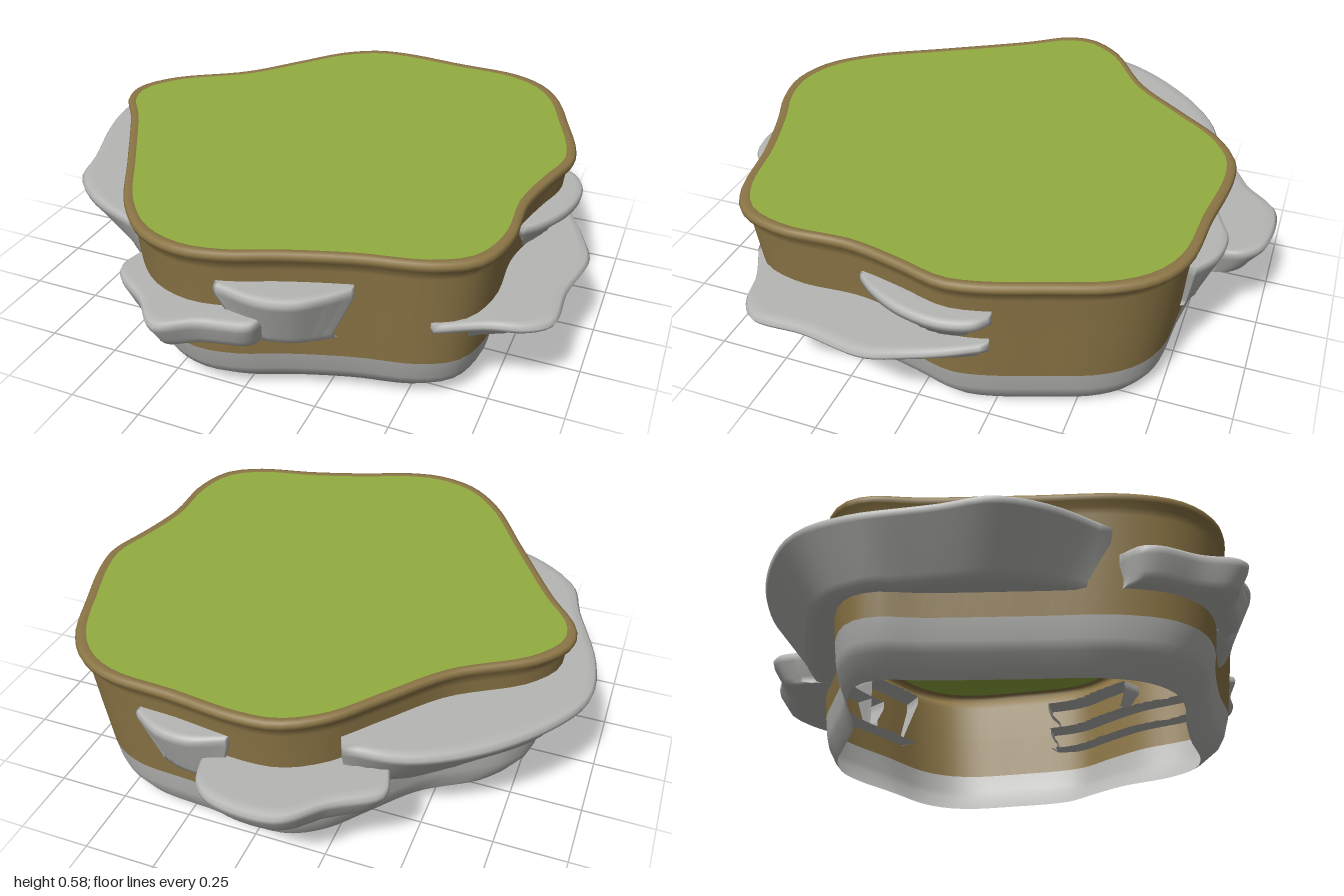
import * as THREE from 'three';

const COLUMNS = 112;

// Plan of the island rim as x, z pairs
const RIM = [
  0, -0.845, 0.24, -0.82, 0.47, -0.8, 0.59, -0.74, 0.68, -0.63, 0.76, -0.43, 0.825, -0.24,
  0.84, -0.13, 0.8, 0.03, 0.765, 0.21, 0.77, 0.45, 0.72, 0.6, 0.61, 0.675, 0.375, 0.73,
  0.16, 0.8, 0, 0.865, -0.14, 0.885, -0.285, 0.84, -0.42, 0.71, -0.58, 0.44, -0.76, 0.135,
  -0.86, -0.01, -0.87, -0.11, -0.79, -0.235, -0.55, -0.405, -0.39, -0.595, -0.26, -0.75, -0.13, -0.83,
];

// Ledges: plan path, bottom and top height, how far the underside tapers in and shrinks sideways
const LEDGES = [
  { name: 'leftLedge', y0: 0.255, y1: 0.47, taper: 0.4, shrink: 0.96,
    path: [-0.43, 0.65, -0.66, 0.55, -0.79, 0.43, -0.84, 0.27, -0.945, -0.02, -0.96, -0.21,
      -0.89, -0.37, -0.71, -0.58, -0.5, -0.71, -0.3, -0.735] },
  { name: 'backLedge', y0: 0.255, y1: 0.375, taper: 0.12, shrink: 0.92,
    path: [-0.44, -0.68, -0.455, -0.775, -0.31, -0.88, -0.19, -0.99, 0.03, -0.985, 0.1, -0.93, 0.13, -0.84] },
  { name: 'backSmallLedge', y0: 0.255, y1: 0.47, taper: 0.3, shrink: 0.6,
    path: [0.04, -0.82, 0.16, -0.87, 0.27, -0.86, 0.37, -0.8] },
  { name: 'frontSmallLedge', y0: 0.255, y1: 0.47, taper: 0.3, shrink: 0.6,
    path: [0.37, 0.72, 0.31, 0.79, 0.23, 0.86, 0.13, 0.885, -0.03, 0.86] },
  { name: 'frontLedge', y0: 0.26, y1: 0.372, taper: 0.12, shrink: 0.95,
    path: [0.12, 0.83, 0.1, 0.885, -0.06, 0.93, -0.16, 0.99, -0.2, 0.975, -0.28, 0.885,
      -0.4, 0.8, -0.43, 0.75, -0.42, 0.68] },
  { name: 'rightLedge', y0: 0.255, y1: 0.347, taper: 0.28, shrink: 0.92,
    path: [0.8, -0.27, 0.87, -0.15, 0.92, -0.04, 0.96, 0.08, 0.93, 0.3, 0.925, 0.48,
      0.86, 0.54, 0.74, 0.575, 0.6, 0.65] },
  { name: 'rightSmallLedge', y0: 0.35, y1: 0.468, taper: 0.3, shrink: 0.7,
    path: [0.8, -0.28, 0.85, -0.24, 0.88, -0.14, 0.86, 0, 0.8, 0.12, 0.75, 0.18] },
];

function smoothPath(flat, closed, count) {
  const pts = [];
  for (let i = 0; i < flat.length; i += 2) pts.push(new THREE.Vector3(flat[i], 0, flat[i + 1]));
  const out = new THREE.CatmullRomCurve3(pts, closed, 'centripetal').getSpacedPoints(count);
  if (closed) out.pop();
  return out;
}

// Skin a list of equal-length rows of points
function loft(rows, closed) {
  const n = rows[0].length;
  const position = rows.flat().flatMap((p) => [p.x, p.y, p.z]);
  const index = [];
  for (let j = 0; j < rows.length - 1; j++) {
    for (let i = 0; i < (closed ? n : n - 1); i++) {
      const a = j * n + i, b = j * n + ((i + 1) % n);
      index.push(a, a + n, b, b, a + n, b + n);
    }
  }
  const geo = new THREE.BufferGeometry();
  geo.setAttribute('position', new THREE.Float32BufferAttribute(position, 3));
  geo.setIndex(index);
  geo.computeVertexNormals();
  return geo;
}

export function createModel() {
  const group = new THREE.Group();
  const material = (name, color) =>
    new THREE.MeshStandardMaterial({ name, color, side: THREE.DoubleSide });
  const grass = material('grass', 0x93ad41);
  const earth = material('earth', 0x8c7646);
  const stone = material('stone', 0xb6b6b4);
  const add = (name, geo, mat) => {
    const mesh = new THREE.Mesh(geo, mat);
    mesh.name = name;
    group.add(mesh);
  };

  const rim = smoothPath(RIM, true, COLUMNS);
  const ring = ([s, y, dz = 0]) => rim.map((p) => new THREE.Vector3(p.x * s, y, p.z * s + dz));

  // Hollow island shell, open underneath
  add('stoneBase', loft([
    [0.815, 0, -0.03], [0.835, 0.015, -0.025], [0.885, 0.065, -0.01], [0.902, 0.1, -0.005], [0.92, 0.172],
  ].map(ring), true), stone);
  add('earthWall', loft([
    [0.92, 0.172], [0.945, 0.35], [0.967, 0.515], [0.975, 0.54], [0.995, 0.556],
    [1, 0.572], [0.992, 0.583], [0.975, 0.585], [0.96, 0.582],
  ].map(ring), true), earth);

  // Flat grass top
  const lawn = new THREE.ShapeGeometry(
    new THREE.Shape(rim.map((p) => new THREE.Vector2(p.x * 0.962, -p.z * 0.962))));
  lawn.rotateX(-Math.PI / 2).translate(0, 0.582, 0);
  add('grassTop', lawn, grass);

  // Point inside the wall, in the same direction as p
  const insideWall = (p) => {
    const dir = p.clone().normalize();
    let best = rim[0];
    for (const r of rim) {
      if (r.dot(dir) / r.length() > best.dot(dir) / best.length()) best = r;
    }
    return dir.multiplyScalar(best.length() * 0.84);
  };

  // Stone ledges: pan-shaped shells that pass through the wall and stay open inside
  for (const { name, path, y0, y1, taper, shrink } of LEDGES) {
    const outer = smoothPath(path, false, 40);
    outer.unshift(insideWall(outer[0]));
    outer.push(insideWall(outer[outer.length - 1]));
    const inner = outer.map(insideWall);
    const centre = outer.reduce((c, p) => c.add(p), new THREE.Vector3()).divideScalar(outer.length);
    const under = outer.map((p, i) => centre.clone().lerp(p, shrink).lerp(inner[i], taper));
    const row = (pts, toInner, y) =>
      pts.map((p, i) => p.clone().lerp(inner[i], toInner).setY(y));
    const h = y1 - y0;
    add(name, loft([
      row(inner, 0, y0), row(under, 0.25, y0), row(under, 0.06, y0 + 0.008), row(under, 0, y0 + 0.03),
      row(outer, 0.02, y1 - Math.min(0.035, h * 0.3)), row(outer, 0, y1 - 0.015),
      row(outer, 0.04, y1 - 0.003), row(outer, 0.15, y1), row(inner, 0, y1),
    ], false), stone);
  }

  return group;
}
